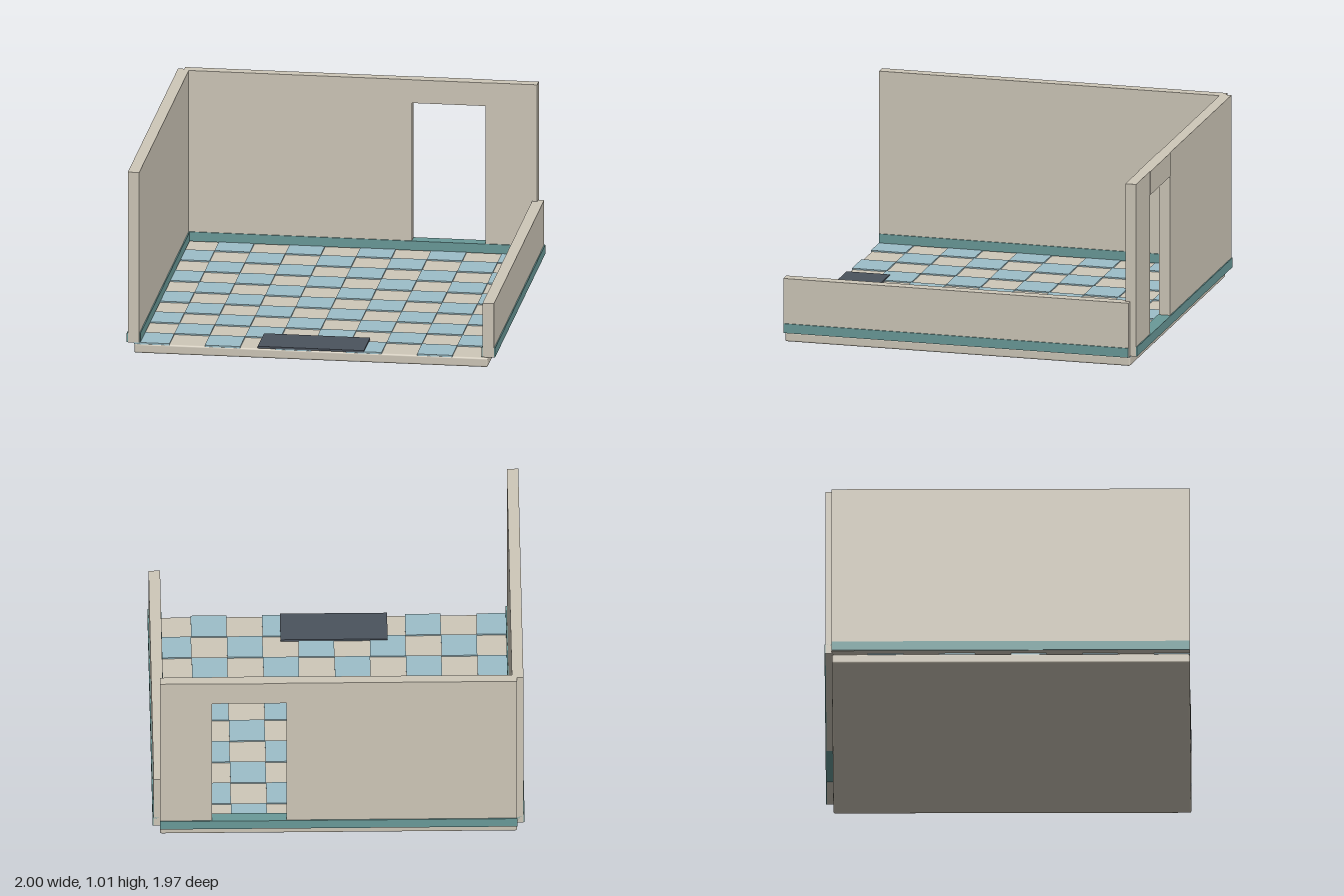
import * as THREE from 'three';
import { RoundedBoxGeometry } from 'three/addons/geometries/RoundedBoxGeometry.js';

const paint = (color) => new THREE.MeshStandardMaterial({ color });

export function createModel() {
  const room = new THREE.Group();
  room.name = 'room';
  const beige = paint(0xcfc8b9);
  const teal = paint(0x6a9a99);
  const blue = paint(0x9dbfc9);
  const slate = paint(0x4b535d);

  // Box given by its [min, max] along each axis
  function block(name, material, [x0, x1], [y0, y1], [z0, z1], radius = 0, parent = room) {
    const size = [x1 - x0, y1 - y0, z1 - z0];
    const geometry = radius
      ? new RoundedBoxGeometry(...size, 2, radius)
      : new THREE.BoxGeometry(...size);
    const mesh = new THREE.Mesh(geometry, material);
    mesh.position.set((x0 + x1) / 2, (y0 + y1) / 2, (z0 + z1) / 2);
    mesh.name = name;
    parent.add(mesh);
    return mesh;
  }

  const floorY = 0.053, wallTop = 1.015, skirtTop = 0.11;
  const front = 0.98, sideBack = -0.945;

  // Floor slab with softened edges
  block('floorSlab', beige, [-0.96, 0.96], [0, floorY], [sideBack, front], 0.01);

  // Raised tiles on every other square of a 10 x 10 chequerboard
  const tiles = new THREE.Group();
  tiles.name = 'floorTiles';
  room.add(tiles);
  const n = 10, dx = 1.92 / n, dz = (front - sideBack) / n;
  for (let row = 0; row < n; row++) {
    for (let col = row % 2; col < n; col += 2) {
      const x = -0.96 + col * dx, z = front - row * dz;
      block('floorTile', blue, [x, x + dx], [floorY - 0.003, floorY + 0.007], [z - dz, z], 0, tiles);
    }
  }

  // Side walls: full height on the right, low on the left
  block('rightWall', beige, [-0.994, -0.932], [floorY + 0.004, wallTop], [sideBack, front]);
  block('leftWall', beige, [0.932, 0.994], [floorY + 0.004, 0.36], [sideBack, front]);

  // Back wall in two pieces joined by a lintel over the doorway
  const doorway = [0.28, 0.68], backZ = [-0.978, -0.918];
  block('backWallWide', beige, [-0.96, doorway[0]], [floorY + 0.004, wallTop], backZ);
  block('backWallNarrow', beige, [doorway[1], 0.96], [floorY + 0.004, wallTop], backZ);
  block('doorLintel', beige, doorway, [0.885, wallTop], [-0.981, -0.915]);

  // Skirting wraps both faces of each wall and forms the door sill
  const skirtY = [floorY + 0.005, skirtTop];
  for (const side of [-1, 1]) {
    const xs = [side * 0.926, side * 1].sort((a, b) => a - b);
    block('sideSkirting', teal, xs, skirtY, [sideBack, front - 0.002]);
  }
  block('backSkirting', teal, [-0.96, 0.96], skirtY, [-0.984, -0.912]);

  // Entrance mat
  block('doorMat', slate, [-0.288, 0.288], [floorY + 0.003, 0.067], [0.742, 0.983]);

  return room;
}
